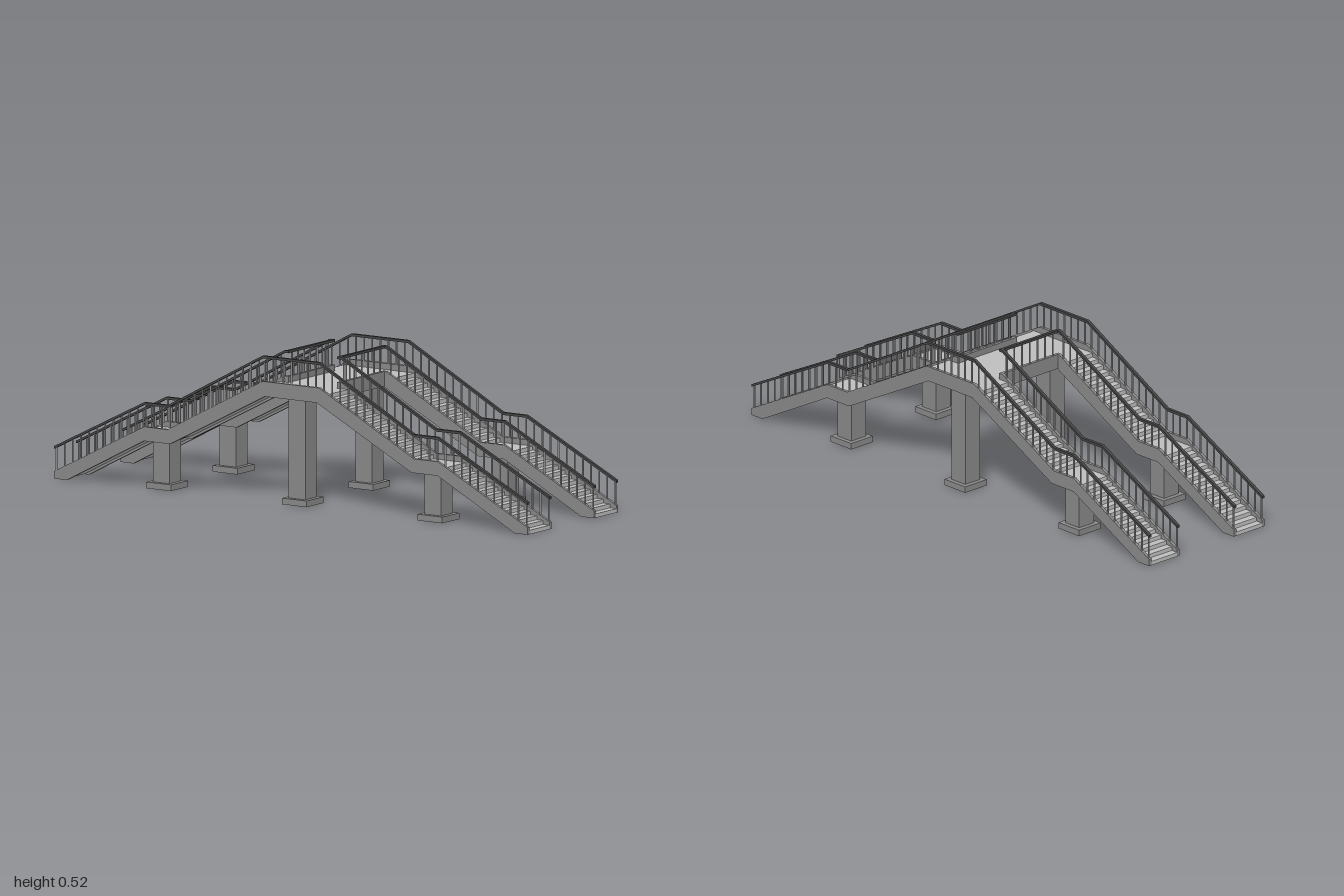
import * as THREE from 'three';

const mat = (name, color) => Object.assign(new THREE.MeshStandardMaterial({ color }), { name });

// Half profiles [x, y] from the stair foot to the centre of the bridge
const BEAM_TOP = [[-1, 0.025], [-0.62, 0.22], [-0.52, 0.22], [-0.12, 0.43]];
const BEAM_BOTTOM = [[-1, 0], [-0.945, 0], [-0.62, 0.17], [-0.51, 0.17], [-0.11, 0.377]];
const RAIL_TOP = [[-1, 0.114], [-0.62, 0.306], [-0.52, 0.306], [-0.12, 0.52]];
const T = 0.012;        // beam and rail width
const Z_IN = 0.136;     // centre of inner beams
const Z_OUT = 0.271;    // centre of outer beams
const X_CROSS = 0.109;  // centre of the cross beams

const raise = (pts, dy) => pts.map(([x, y]) => [x, y + dy]);
const flip = (pts) => pts.map(([x, y]) => [-x, y]).reverse();

// Height of a polyline at x
function heightAt(pts, x) {
  for (let i = 1; i < pts.length; i++) {
    const [x0, y0] = pts[i - 1], [x1, y1] = pts[i];
    if (x <= x1) return y0 + (y1 - y0) * (x - x0) / (x1 - x0);
  }
  return pts[pts.length - 1][1];
}

// Extrude the band between two profiles, centred on z = 0
function band(top, bottom, depth) {
  const outline = [...bottom, ...[...top].reverse()].map((p) => new THREE.Vector2(...p));
  const geo = new THREE.ExtrudeGeometry(new THREE.Shape(outline), { depth, bevelEnabled: false });
  return geo.translate(0, 0, -depth / 2);
}

// Full span, or a half that stops at the cross beam
const span = (pts) => [...pts, ...flip(pts)];
const half = (pts) => {
  const end = -X_CROSS + T / 2;
  return [...pts.filter(([x]) => x < end), [end, pts[pts.length - 1][1]]];
};

// Stepped top of two flights and the landing between them
function stepProfile() {
  const pts = [];
  const flight = (x0, x1, y0, y1, n) => {
    const run = (x1 - x0) / n, rise = (y1 - y0) / n;
    for (let i = 0; i < n; i++) {
      pts.push([x0 + i * run, y0 + i * rise], [x0 + i * run, y0 + (i + 1) * rise]);
    }
  };
  flight(-1, -0.62, 0, 0.2, 14);
  flight(-0.51, -0.12, 0.2, 0.408, 14);
  return pts.slice(1);
}

export function createModel() {
  const model = new THREE.Group();
  model.name = 'footbridge';
  const tread = mat('paleConcrete', 0xbebebe);
  const concrete = mat('greyConcrete', 0x878787);
  const railMat = mat('darkHandrail', 0x444444);
  const steel = mat('balusterSteel', 0xacacac);

  const add = (name, geo, material, x = 0, y = 0, z = 0) => {
    const mesh = new THREE.Mesh(geo, material);
    mesh.name = name;
    mesh.position.set(x, y, z);
    model.add(mesh);
    return mesh;
  };
  const box = (name, w, y0, y1, d, material, x, z) =>
    add(name, new THREE.BoxGeometry(w, y1 - y0, d), material, x, (y0 + y1) / 2, z);
  const baluster = (x, y0, y1, z) => box('baluster', 0.0045, y0, y1, 0.0045, steel, x, z);

  // Stairs, landings and upper walkway, with a smooth sloping underside
  const soffit = [[-1, 0], [-0.964, 0], [-0.62, 0.18], [-0.51, 0.18], [-0.11, 0.387]];
  const stairGeo = band(span(stepProfile()), span(soffit), Z_OUT - Z_IN - T);

  // Beams and handrails: continuous outside, broken at the deck inside
  const beamOuter = band(span(BEAM_TOP), span(BEAM_BOTTOM), T);
  const railLow = raise(RAIL_TOP, -0.009);
  const railOuter = band(span(RAIL_TOP), span(railLow), T);
  const halves = (top, bottom) => {
    const t = half(top), b = half(bottom);
    return [band(t, b, T), band(flip(t), flip(b), T)];
  };
  const beamInner = halves(BEAM_TOP, BEAM_BOTTOM);
  const railInner = halves(RAIL_TOP, railLow);

  for (const s of [1, -1]) {
    add('stairs', stairGeo, tread, 0, 0, s * (Z_IN + Z_OUT) / 2);
    add('outerBeam', beamOuter, concrete, 0, 0, s * Z_OUT);
    add('outerHandrail', railOuter, railMat, 0, 0, s * Z_OUT);
    beamInner.forEach((g) => add('innerBeam', g, concrete, 0, 0, s * Z_IN));
    railInner.forEach((g) => add('innerHandrail', g, railMat, 0, 0, s * Z_IN));

    // Balusters along the outer and inner beams
    const count = 58;
    for (let i = 0; i <= count; i++) {
      const x = -0.992 + (1.984 * i) / count;
      const y0 = heightAt(BEAM_TOP, -Math.abs(x)) - 0.004;
      const y1 = heightAt(RAIL_TOP, -Math.abs(x)) - 0.005;
      baluster(x, y0, y1, s * Z_OUT);
      if (Math.abs(x) > X_CROSS) baluster(x, y0, y1, s * Z_IN);
    }

    // Cross beam, rail and balusters at each edge of the deck
    box('crossBeam', T, 0.377, 0.43, 2 * Z_IN - T, concrete, s * X_CROSS, 0);
    box('crossHandrail', T, 0.511, 0.52, 2 * Z_IN - T, railMat, s * X_CROSS, 0);
    for (let i = -3; i <= 3; i++) baluster(s * X_CROSS, 0.426, 0.515, i * 0.037);

    // Pillars on footings
    for (const [x, top] of [[-0.573, 0.185], [0, 0.392], [0.573, 0.185]]) {
      const z = s * (Z_IN + Z_OUT) / 2;
      box('pillar', 0.07, 0.02, top, 0.07, concrete, x, z);
      box('footing', 0.104, 0, 0.022, 0.104, concrete, x, z);
    }
  }

  // Deck joining the two walkways
  box('deck', 2 * X_CROSS - T, 0.387, 0.408, 2 * Z_IN + T, tread, 0, 0);
  return model;
}
